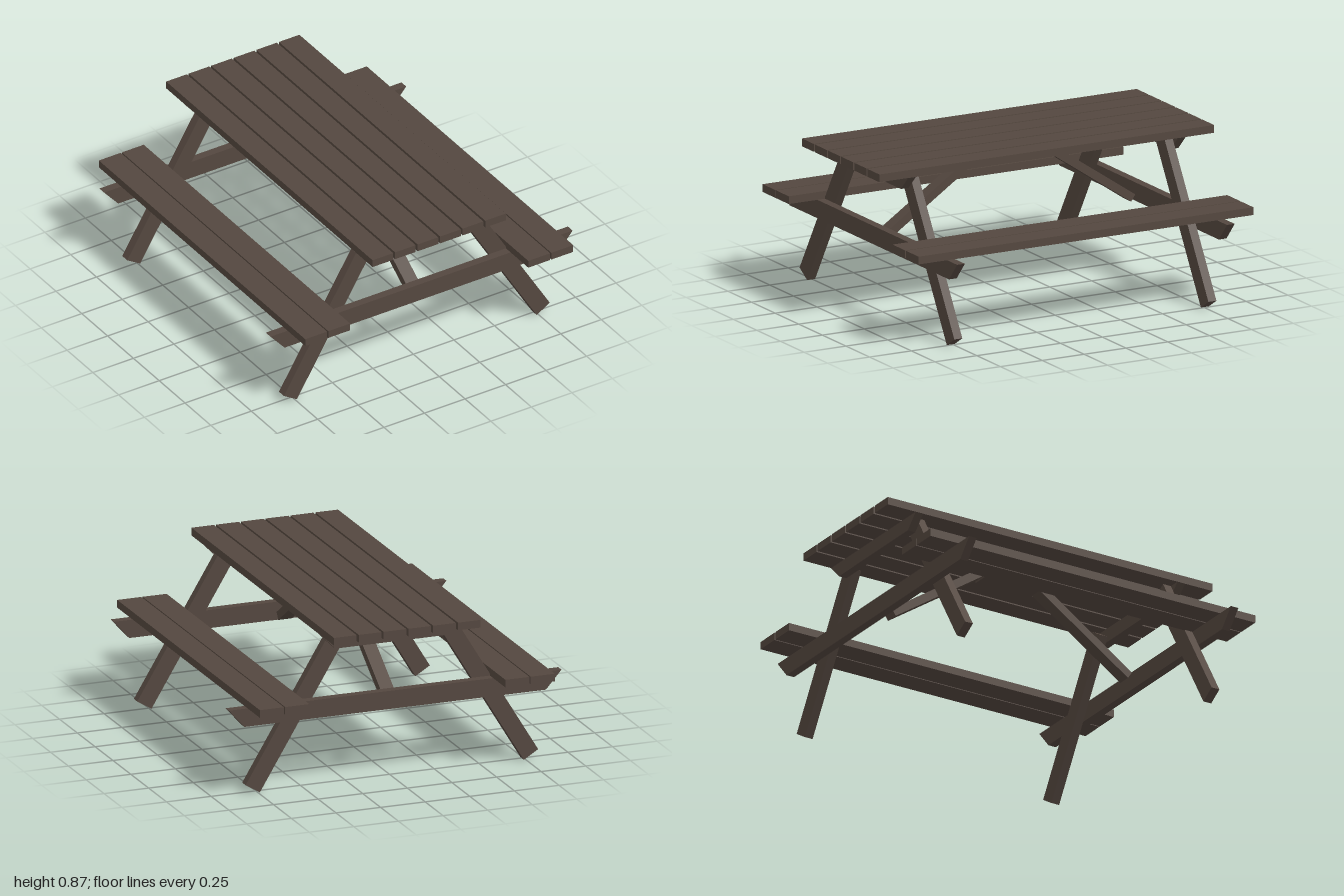
import * as THREE from 'three';

export function createModel() {
  const model = new THREE.Group();
  model.name = 'picnicTable';
  const wood = new THREE.MeshStandardMaterial({ color: 0x54473f });
  wood.name = 'darkWood';

  const add = (name, geometry, x = 0, y = 0, z = 0) => {
    const mesh = new THREE.Mesh(geometry, wood);
    mesh.name = name;
    mesh.position.set(x, y, z);
    model.add(mesh);
    return mesh;
  };
  // Board with an outline in the x-y plane, starting at z = 0
  const board = (points, depth) => new THREE.ExtrudeGeometry(
    new THREE.Shape(points.map(([x, y]) => new THREE.Vector2(x, y))),
    { depth, bevelEnabled: false });

  // Table top: six long planks
  for (let i = 0; i < 6; i++) {
    add('tabletopPlank', new THREE.BoxGeometry(0.127, 0.042, 2), (i - 2.5) * 0.139, 0.85, 0);
  }

  // Benches: two planks on each side
  for (const side of [-1, 1]) {
    for (const x of [0.617, 0.759]) {
      add('benchPlank', new THREE.BoxGeometry(0.135, 0.042, 2), side * x, 0.505, 0);
    }
  }

  // Crossbeams with slanted ends, and splayed legs, at both ends of the table
  const legShape = [[-0.74, 0], [-0.267, 0.78], [-0.347, 0.829], [-0.82, 0.049]];
  for (const end of [-1, 1]) {
    const beamZ = end * 0.806 - 0.023;
    add('benchCrossbeam', board([[-0.845, 0.385], [0.845, 0.385], [0.932, 0.484], [-0.932, 0.484]], 0.046), 0, 0, beamZ);
    add('topCrossbeam', board([[-0.335, 0.752], [0.335, 0.752], [0.412, 0.829], [-0.412, 0.829]], 0.046), 0, 0, beamZ);
    const legZ = end * 0.759 - 0.024;
    add('leg', board(legShape, 0.048), 0, 0, legZ);
    add('leg', board(legShape.map(([x, y]) => [-x, y]).reverse(), 0.048), 0, 0, legZ);

    // Diagonal brace from the bench crossbeam up to the middle of the top
    const brace = add('diagonalBrace', new THREE.BoxGeometry(0.075, 0.044, 0.69), 0, 0.618, end * 0.441);
    brace.rotation.x = end * Math.atan2(0.385, 0.572);
  }

  // Block under the top where the braces meet
  add('braceBlock', new THREE.BoxGeometry(0.11, 0.053, 0.33), 0, 0.794, 0);

  return model;
}
